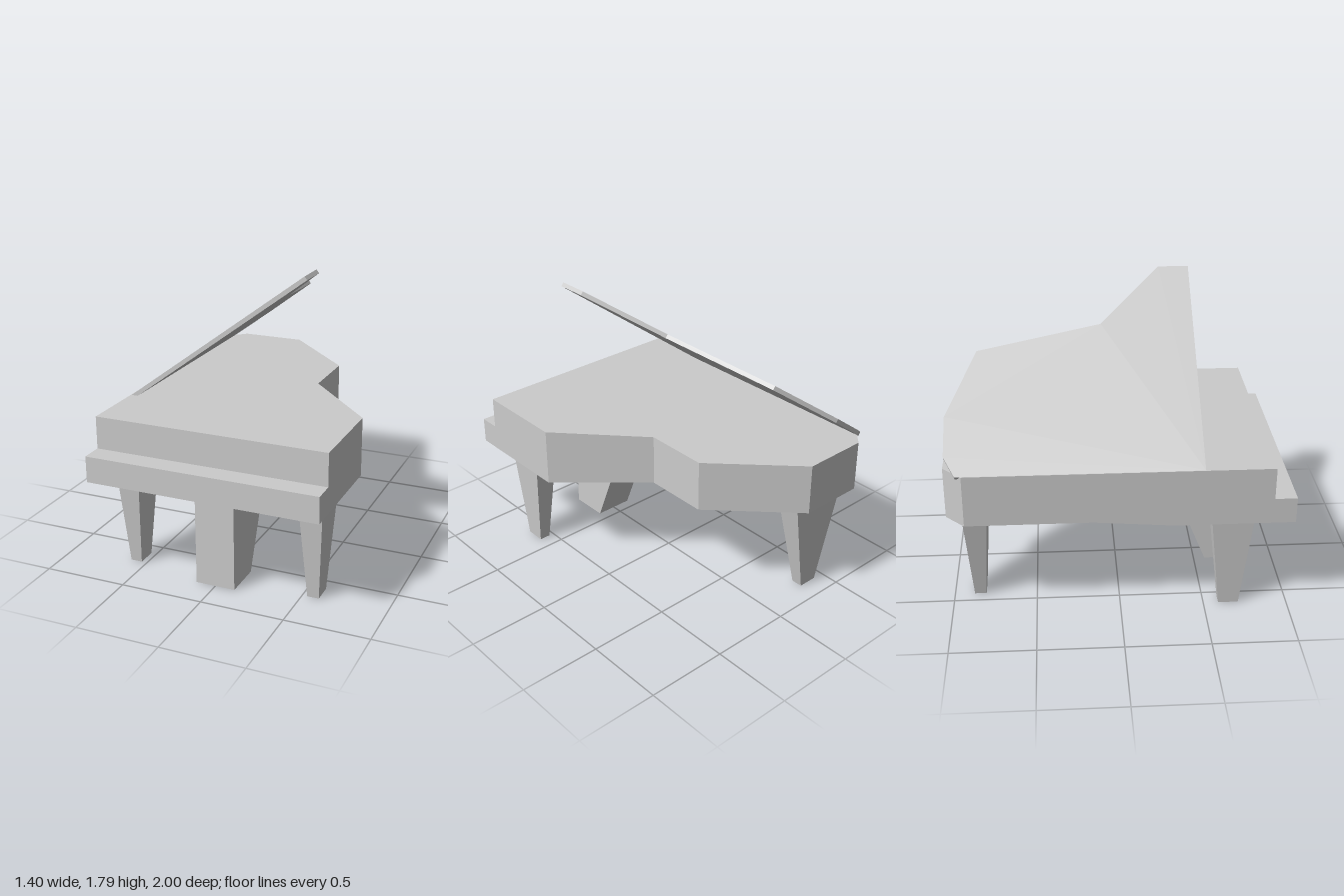
import * as THREE from 'three';

const material = new THREE.MeshStandardMaterial({ color: 0xcccccc, flatShading: true });

function part(name, geometry) {
  const mesh = new THREE.Mesh(geometry, material);
  mesh.name = name;
  return mesh;
}

// Skin over rectangular sections, front to back: [z, left x, right x, bottom y, top y]
function loft(sections) {
  const positions = [];
  const rings = sections.map(([z, x0, x1, y0, y1]) =>
    [[x0, y0, z], [x1, y0, z], [x1, y1, z], [x0, y1, z]]);
  const quad = (a, b, c, d) => positions.push(...a, ...b, ...c, ...a, ...c, ...d);
  for (let i = 0; i < rings.length - 1; i++) {
    const r = rings[i], s = rings[i + 1];
    for (let j = 0; j < 4; j++) {
      const k = (j + 1) % 4;
      // skip sides that collapse where the section only steps up
      if (r[0][2] === s[0][2] && j !== 2) continue;
      quad(r[j], s[j], s[k], r[k]);
    }
  }
  const back = rings[rings.length - 1];
  quad(...rings[0]);
  quad(back[3], back[2], back[1], back[0]);
  const geometry = new THREE.BufferGeometry();
  geometry.setAttribute('position', new THREE.Float32BufferAttribute(positions, 3));
  geometry.computeVertexNormals();
  return geometry;
}

// Box whose top and bottom rectangles differ: each is [x0, x1, z0, z1]
function taperedBox(height, top, bottom) {
  const geometry = new THREE.BoxGeometry(1, 1, 1);
  const p = geometry.attributes.position;
  for (let i = 0; i < p.count; i++) {
    const up = p.getY(i) > 0;
    const rect = up ? top : bottom;
    p.setXYZ(i, rect[p.getX(i) > 0 ? 1 : 0], up ? height : 0, rect[p.getZ(i) > 0 ? 3 : 2]);
  }
  geometry.computeVertexNormals();
  return geometry;
}

export function createModel() {
  const group = new THREE.Group();
  group.name = 'grandPiano';

  // Case with the keyboard ledge at the front and a curved-in right side
  group.add(part('case', loft([
    [1.00, -0.70, 0.70, 0.613, 0.77],
    [0.87, -0.70, 0.70, 0.613, 0.77],
    [0.87, -0.70, 0.70, 0.613, 0.965],
    [0.31, -0.70, 0.70, 0.613, 0.965],
    [-0.16, -0.70, 0.26, 0.65, 0.965],
    [-0.55, -0.70, 0.26, 0.65, 0.965],
    [-0.89, -0.70, -0.08, 0.65, 0.965],
    [-1.00, -0.59, -0.19, 0.65, 0.965],
  ])));

  // Raised lid: outline as [distance from hinge, z], then tilted about the hinge
  const outline = [
    [0, 0.47], [1.37, 0.47], [1.37, 0.285], [0.968, -0.08],
    [0.80, -0.81], [0.375, -0.99], [0.125, -0.99], [0, -0.925],
  ];
  const thickness = 0.025;
  const lid = new THREE.ExtrudeGeometry(
    new THREE.Shape(outline.map(([u, z]) => new THREE.Vector2(u, -z))),
    { depth: thickness, bevelEnabled: false });
  lid.rotateX(-Math.PI / 2);
  lid.translate(0, -thickness, 0);
  lid.rotateZ(Math.atan2(0.82, 1.095));
  lid.translate(-0.695, 0.965, 0);
  group.add(part('lid', lid));

  // Front legs
  for (const [name, x] of [['frontLegRight', -0.57], ['frontLegLeft', 0.565]]) {
    group.add(part(name, taperedBox(0.613,
      [x - 0.073, x + 0.073, 0.525, 0.775],
      [x - 0.035, x + 0.035, 0.59, 0.71])));
  }

  // Rear leg, wide across the tail
  group.add(part('rearLeg', taperedBox(0.65,
    [-0.56, -0.18, -0.92, -0.77],
    [-0.43, -0.31, -0.88, -0.81])));

  // Pedal support, upright in front and sloping behind
  group.add(part('pedalSupport', taperedBox(0.613,
    [-0.12, 0.12, 0.32, 0.805],
    [-0.12, 0.12, 0.57, 0.805])));

  return group;
}
